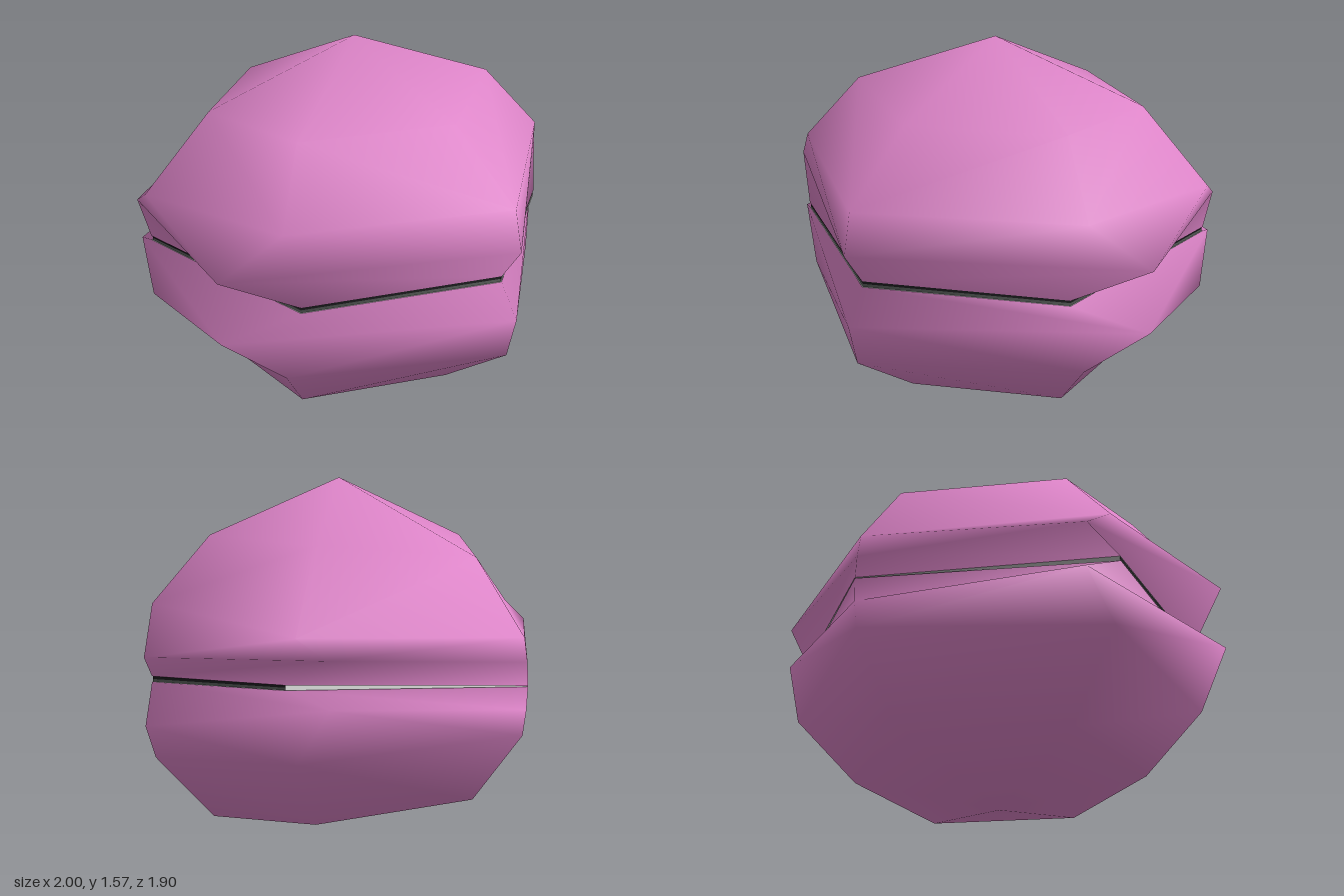
import * as THREE from 'three';

const shellPink = new THREE.MeshStandardMaterial({ color: 0xdd84c8 });
shellPink.name = 'shellPink';
const innerGrey = new THREE.MeshStandardMaterial({ color: 0xc4c6c4, side: THREE.DoubleSide });
innerGrey.name = 'innerGrey';
const gapGrey = new THREE.MeshStandardMaterial({ color: 0x565c58, side: THREE.DoubleSide });
gapGrey.name = 'gapGrey';
const gapBlack = new THREE.MeshStandardMaterial({ color: 0x1c1c1e, side: THREE.DoubleSide });
gapBlack.name = 'gapBlack';

// Each ring lists its front, front-side, back-side and back corner; the sides are mirrored.
const upperRings = [
  [[0, 0.735, 0.86], [0.75, 0.73, 0.45], [0.87, 0.79, -0.36], [0, 0.722, -0.95]],
  [[0, 0.88, 0.95], [1, 0.86, 0.25], [0.82, 0.89, -0.52], [0, 0.82, -0.945]],
  [[0, 1.06, 0.91], [0.79, 1.05, 0.4], [0.857, 0.97, -0.4], [0, 0.92, -0.93]],
  [[0, 1.33, 0.58], [0.58, 1.33, 0.26], [0.58, 1.3, -0.29], [0, 1.24, -0.7]],
];
const lowerRings = [
  [[0, 0.708, 0.86], [0.75, 0.705, 0.45], [0.87, 0.77, -0.36], [0, 0.718, -0.95]],
  [[0, 0.56, 0.95], [1, 0.58, 0.25], [0.81, 0.7, -0.52], [0, 0.62, -0.945]],
  [[0, 0.37, 0.91], [0.79, 0.39, 0.4], [0.857, 0.48, -0.4], [0, 0.51, -0.93]],
  [[0, 0.105, 0.58], [0.58, 0.105, 0.26], [0.58, 0.16, -0.29], [0, 0.2, -0.7]],
];

const mirror = ([x, y, z]) => [-x, y, z];
const fullRing = ([f, s, b, k]) => [f, s, b, k, mirror(b), mirror(s)];

function meshFrom(name, points, index, material) {
  const geo = new THREE.BufferGeometry();
  geo.setAttribute('position', new THREE.Float32BufferAttribute(points.flat(), 3));
  geo.setIndex(index);
  geo.computeVertexNormals();
  const mesh = new THREE.Mesh(geo, material);
  mesh.name = name;
  return mesh;
}

// Smooth six-sided dome lofted from the lip to its pole
function shell(name, rings, poleY, flip) {
  const points = rings.flatMap(fullRing);
  const pole = points.push([0, poleY, 0]) - 1;
  const index = [];
  const tri = (a, b, c) => (flip ? index.push(a, c, b) : index.push(a, b, c));
  for (let r = 0; r < rings.length; r++) {
    for (let i = 0; i < 6; i++) {
      const a = r * 6 + i, b = r * 6 + (i + 1) % 6;
      if (r === rings.length - 1) tri(a, b, pole);
      else if (i < 3) { tri(a, b, b + 6); tri(a, b + 6, a + 6); }
      else { tri(a, b, a + 6); tri(b, b + 6, a + 6); }
    }
  }
  return meshFrom(name, points, index, shellPink);
}

// Flat lining that closes a shell at its lip
function lining(name, ring, flip) {
  const points = [...fullRing(ring), [0, ring[1][1], 0]];
  const index = [];
  for (let i = 0; i < 6; i++) {
    const j = (i + 1) % 6;
    if (flip) index.push(6, j, i);
    else index.push(6, i, j);
  }
  return meshFrom(name, points, index, innerGrey);
}

// Narrow strip filling part of the gap along the front and sides
function gapStrip(name, from, to, material) {
  const low = fullRing(lowerRings[0]), high = fullRing(upperRings[0]);
  const points = [], index = [];
  [4, 5, 0, 1, 2].forEach((c, n) => {
    for (const t of [from, to]) {
      const y = THREE.MathUtils.lerp(low[c][1], high[c][1], t);
      points.push([low[c][0] * 0.995, y, low[c][2] * 0.995]);
    }
    if (n < 4) index.push(2 * n, 2 * n + 2, 2 * n + 3, 2 * n, 2 * n + 3, 2 * n + 1);
  });
  return meshFrom(name, points, index, material);
}

export function createModel() {
  const model = new THREE.Group();
  model.name = 'clam';
  model.add(
    shell('upperShell', upperRings, 1.57, false),
    shell('lowerShell', lowerRings, 0, true),
    lining('upperLining', upperRings[0], true),
    lining('lowerLining', lowerRings[0], false),
    gapStrip('lowerLip', 0, 0.5, gapGrey),
    gapStrip('upperLip', 0.5, 1, gapBlack),
  );
  return model;
}
